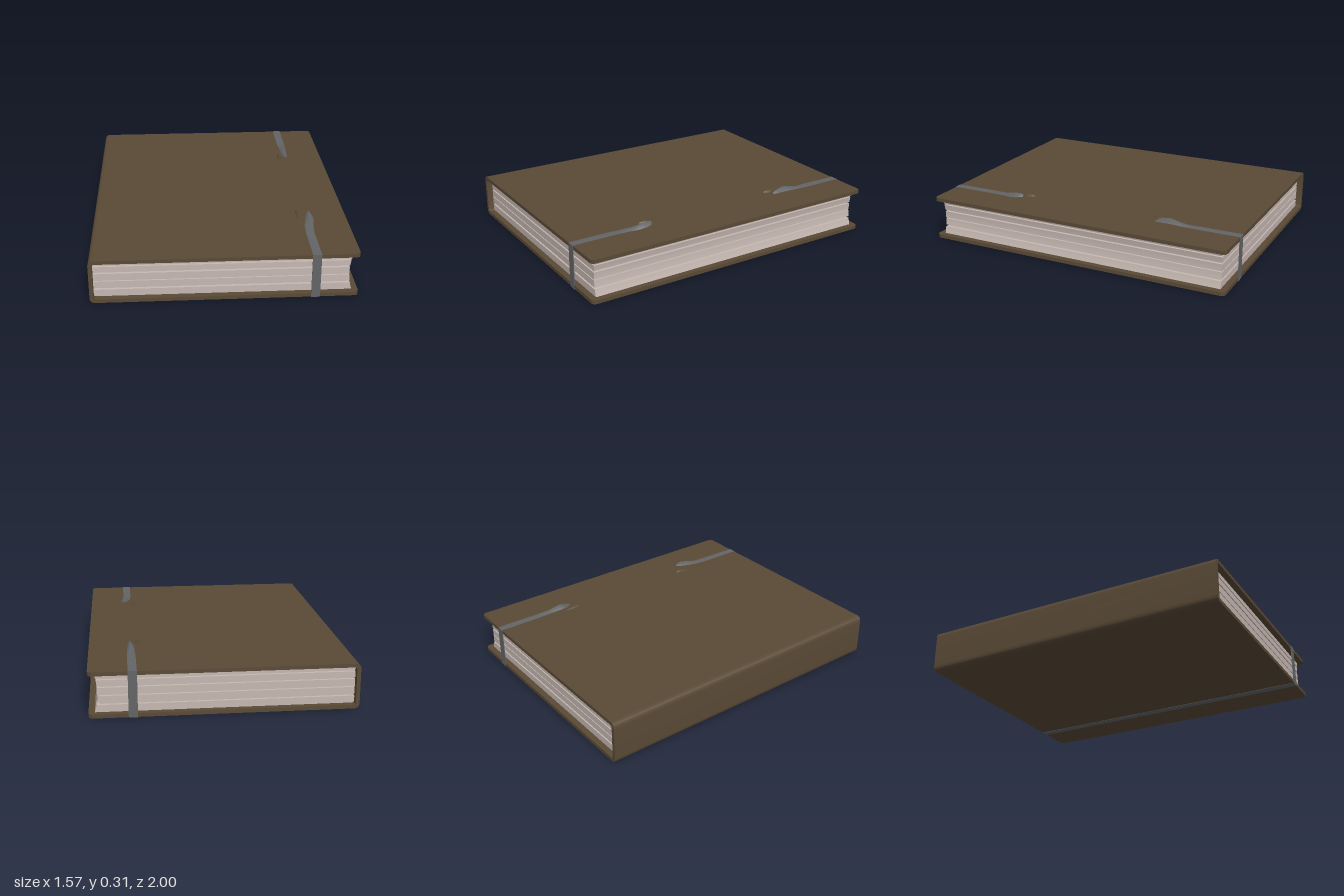
import * as THREE from 'three';
import { toCreasedNormals } from 'three/addons/utils/BufferGeometryUtils.js';

const W = 0.787, D = 0.998, H = 0.278, T = 0.023, BASE = 0.002;

export function createModel() {
  const model = new THREE.Group();
  const leather = new THREE.MeshStandardMaterial({ color: 0x5a4a36, side: THREE.DoubleSide });
  leather.name = 'brownLeather';
  const paper = new THREE.MeshStandardMaterial({ color: 0xc6b8b2 });
  paper.name = 'paper';
  const ribbon = new THREE.MeshStandardMaterial({ color: 0x626466, side: THREE.DoubleSide });
  ribbon.name = 'greyRibbon';

  const add = (name, geometry, material, x = 0, y = 0, z = 0) => {
    const mesh = new THREE.Mesh(geometry, material);
    mesh.name = name;
    mesh.position.set(x, y, z);
    model.add(mesh);
    return mesh;
  };

  // Extrudes a plan drawn in x and z upwards by the given height
  const slab = (shape, height) => {
    const g = new THREE.ExtrudeGeometry(shape, { depth: height, bevelEnabled: false, curveSegments: 8 });
    return toCreasedNormals(g.rotateX(-Math.PI / 2), 0.6);
  };

  // Cover boards, rounded at the two fore-edge corners
  const r = 0.03, hinge = -W + 0.045;
  const board = new THREE.Shape();
  board.moveTo(hinge, -D);
  board.lineTo(W - r, -D);
  board.quadraticCurveTo(W, -D, W, -D + r);
  board.lineTo(W, D - r);
  board.quadraticCurveTo(W, D, W - r, D);
  board.lineTo(hinge, D);
  board.closePath();
  add('bottomCover', slab(board, T), leather, 0, BASE);
  add('topCover', slab(board, T), leather, 0, H - T);

  // Spine, a C section with rounded outer and inner corners
  const R = 0.035, ri = 0.015, L = -W, Li = -W + T;
  const section = new THREE.Shape();
  section.moveTo(hinge, BASE);
  section.lineTo(L + R, BASE);
  section.quadraticCurveTo(L, BASE, L, BASE + R);
  section.lineTo(L, H - R);
  section.quadraticCurveTo(L, H, L + R, H);
  section.lineTo(hinge, H);
  section.lineTo(hinge, H - T);
  section.lineTo(Li + ri, H - T);
  section.quadraticCurveTo(Li, H - T, Li, H - T - ri);
  section.lineTo(Li, BASE + T + ri);
  section.quadraticCurveTo(Li, BASE + T, Li + ri, BASE + T);
  section.lineTo(hinge, BASE + T);
  section.closePath();
  const spine = new THREE.ExtrudeGeometry(section, { depth: 2 * D, bevelEnabled: false, curveSegments: 8 });
  add('spine', toCreasedNormals(spine, 0.6), leather, 0, 0, -D);

  // Page block: bundles parted by narrow recessed gaps, hollow along the fore edge
  const levels = [0.025, 0.068, 0.08, 0.122, 0.128, 0.172, 0.182, 0.218, 0.226, 0.255];
  const left = -W + T - 0.004;
  const edgeX = y => 0.732 + 0.018 * ((y - 0.14) / 0.115) ** 2;
  for (let i = 0; i < levels.length - 1; i++) {
    const inset = i % 2 ? 0.018 : 0, depth = 0.96 - inset;
    const profile = new THREE.Shape();
    profile.moveTo(left, levels[i]);
    for (let k = 0; k <= 4; k++) {
      const y = THREE.MathUtils.lerp(levels[i], levels[i + 1], k / 4);
      profile.lineTo(edgeX(y) - inset, y);
    }
    profile.lineTo(left, levels[i + 1]);
    profile.closePath();
    const g = new THREE.ExtrudeGeometry(profile, { depth: 2 * depth, bevelEnabled: false });
    add(i % 2 ? 'pageGap' : 'pageBundle', toCreasedNormals(g, 0.5), paper, 0, 0, -depth);
  }

  // Ribbon round the bottom and both ends
  const rx = 0.532, rw = 0.053;
  add('ribbonUnder', new THREE.BoxGeometry(rw, 0.004, 2), ribbon, rx, 0.002, 0);
  for (const s of [1, -1])
    add(s > 0 ? 'ribbonFront' : 'ribbonBack', new THREE.BoxGeometry(rw, H + 0.002, 0.004), ribbon, rx, H / 2 + 0.001, s * 0.998);

  // Strip from rows of [z, centre x, half width, edge height, ridge height]
  const strip = rows => {
    const points = [], index = [];
    rows.forEach(([z, x, w, y, ridge], i) => {
      points.push(x - w, H + y, z, x, H + ridge, z, x + w, H + y, z);
      if (i) for (let k = 0; k < 2; k++) {
        const a = (i - 1) * 3 + k, b = a + 3;
        if (z < rows[0][0]) index.push(a, a + 1, b, a + 1, b + 1, b);
        else index.push(a, b, a + 1, a + 1, b, b + 1);
      }
    });
    const g = new THREE.BufferGeometry();
    g.setAttribute('position', new THREE.Float32BufferAttribute(points, 3));
    g.setIndex(index);
    g.computeVertexNormals();
    return g;
  };

  // Loose ribbon ends lying on the top cover
  add('frontRibbonEnd', strip([
    [1, 0.532, 0.026, 0.002, 0.002], [0.72, 0.532, 0.026, 0.002, 0.004],
    [0.63, 0.538, 0.027, 0.004, 0.014], [0.57, 0.55, 0.027, 0.006, 0.026],
    [0.52, 0.556, 0.023, 0.01, 0.036], [0.48, 0.555, 0.014, 0.014, 0.034],
    [0.47, 0.552, 0.005, 0.018, 0.026]
  ]), ribbon);
  add('backRibbonEnd', strip([
    [-1, 0.532, 0.026, 0.002, 0.002], [-0.72, 0.532, 0.026, 0.002, 0.005],
    [-0.63, 0.533, 0.023, 0.003, 0.018], [-0.55, 0.531, 0.021, 0.004, 0.034],
    [-0.5, 0.534, 0.017, 0.003, 0.026], [-0.46, 0.543, 0.005, 0.002, 0.01]
  ]), ribbon);

  // Small curled leather tips beside the ribbon ends
  for (const s of [1, -1])
    add(s > 0 ? 'frontLeatherTip' : 'backLeatherTip', strip([
      [0.42, 0.485, 0.003, 0.001, 0.006], [0.45, 0.491, 0.012, 0.001, 0.017],
      [0.48, 0.491, 0.012, 0.001, 0.015], [0.52, 0.482, 0.003, 0.001, 0.003]
    ].map(([z, ...rest]) => [s * z, ...rest])), leather);

  return model;
}
